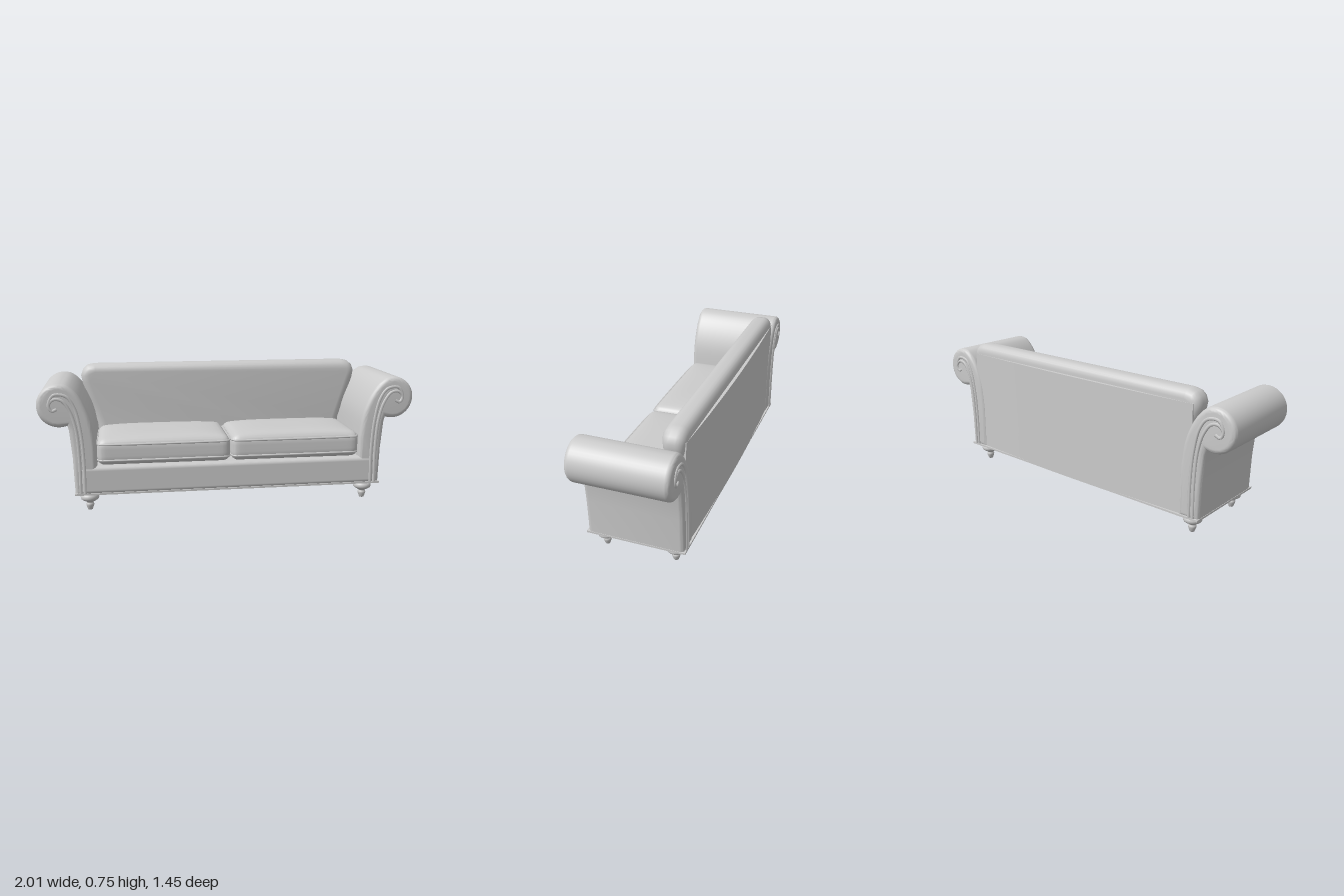
import * as THREE from 'three';
import { toCreasedNormals } from 'three/addons/utils/BufferGeometryUtils.js';
import { RoundedBoxGeometry } from 'three/addons/geometries/RoundedBoxGeometry.js';

const material = new THREE.MeshStandardMaterial({ color: 0xcccccc });
const v2 = (x, y) => new THREE.Vector2(x, y);
const v3 = (x, y, z) => new THREE.Vector3(x, y, z);

function add(parent, name, geometry, x = 0, y = 0, z = 0) {
  const mesh = new THREE.Mesh(geometry, material);
  mesh.name = name;
  mesh.position.set(x, y, z);
  parent.add(mesh);
  return mesh;
}

// Extrude along z, centred, with rounded edges kept inside the outline
function bevelled(points, thickness, bevel) {
  const geometry = new THREE.ExtrudeGeometry(new THREE.Shape(points), {
    depth: thickness - 2 * bevel, bevelEnabled: true, bevelThickness: bevel,
    bevelSize: bevel, bevelOffset: -bevel, bevelSegments: 5,
  });
  geometry.translate(0, 0, -thickness / 2 + bevel);
  return toCreasedNormals(geometry, 0.6);
}

// Rounded box with a crowned top
function pillow(w, h, d, r, crown) {
  const geometry = new THREE.BoxGeometry(2, 2, 2, 24, 12, 24);
  const p = geometry.attributes.position;
  const half = v3(w / 2, h / 2, d / 2);
  const inner = half.clone().subScalar(r);
  for (let i = 0; i < p.count; i++) {
    const q = v3(p.getX(i), p.getY(i), p.getZ(i));
    for (const a of ['x', 'y', 'z']) q[a] = Math.sin(q[a] * Math.PI / 2) * half[a];
    const core = q.clone().clamp(inner.clone().negate(), inner);
    q.sub(core).setLength(r).add(core);
    if (q.y > 0) {
      const fall = (1 - (2 * q.x / w) ** 4) * (1 - (2 * q.z / d) ** 4);
      q.y += crown * fall * q.y / half.y;
    }
    p.setXYZ(i, q.x, q.y, q.z);
  }
  return toCreasedNormals(geometry.toNonIndexed(), 0.8);
}

// Closed piping around a cushion
function piping(w, d, r, thickness) {
  const pts = [];
  for (const [sx, sz, start] of [[1, 1, 0], [-1, 1, 1], [-1, -1, 2], [1, -1, 3]]) {
    for (let i = 0; i <= 4; i++) {
      const a = (start + i / 4) * Math.PI / 2;
      pts.push(v3(sx * (w / 2 - r) + r * Math.cos(a), 0, sz * (d / 2 - r) + r * Math.sin(a)));
    }
  }
  const curve = new THREE.CatmullRomCurve3(pts, true, 'centripetal');
  return new THREE.TubeGeometry(curve, 100, thickness, 6, true);
}

// Scroll arm outline; s is the side (+1 left, -1 right)
function armOutline(s) {
  const inner = new THREE.SplineCurve([
    v2(0.72, 0.36), v2(0.735, 0.48), v2(0.765, 0.57), v2(0.81, 0.645), v2(0.86, 0.69), v2(0.905, 0.7),
  ]).getPoints(20);
  const pts = [v2(0.72, 0.1), ...inner];
  for (let i = 1; i <= 24; i++) {
    const a = THREE.MathUtils.degToRad(90 - i * 200 / 24);
    pts.push(v2(0.905 + 0.115 * Math.cos(a), 0.585 + 0.115 * Math.sin(a)));
  }
  pts.push(v2(0.859, 0.45), v2(0.846, 0.3), v2(0.84, 0.1));
  return pts.map((p) => v2(p.x * s, p.y));
}

// Raised band that climbs the arm end and curls into the scroll
function scrollBand(s, offset) {
  const path = [
    [0.81, 0.11], [0.81, 0.3], [0.822, 0.46], [0.85, 0.56], [0.89, 0.615],
    [0.93, 0.62], [0.955, 0.59], [0.94, 0.56], [0.915, 0.57],
  ].map(([x, y], i) => v3(s * (x - (i < 5 ? offset : 0)), y + (i > 2 && i < 6 ? offset : 0), 0));
  const geometry = new THREE.TubeGeometry(new THREE.CatmullRomCurve3(path), 60, 0.009, 6);
  return geometry;
}

export function createModel() {
  const model = new THREE.Group();
  model.name = 'sofa';
  const sofa = new THREE.Group();
  sofa.name = 'turnedSofa';
  sofa.rotation.y = -Math.PI / 6;
  model.add(sofa);

  // Base, front rail and bottom trim
  add(sofa, 'base', new THREE.BoxGeometry(1.67, 0.14, 0.5), 0, 0.17, 0);
  add(sofa, 'frontRail', new RoundedBoxGeometry(1.63, 0.156, 0.12, 5, 0.025), 0, 0.178, 0.203);
  add(sofa, 'bottomTrim', new THREE.BoxGeometry(1.685, 0.01, 0.53), 0, 0.105, 0);

  // Seat cushions with piping
  for (const s of [-1, 1]) {
    const cushion = new THREE.Group();
    cushion.name = s > 0 ? 'leftCushion' : 'rightCushion';
    cushion.position.set(s * 0.361, 0.325, 0.05);
    add(cushion, 'pad', pillow(0.718, 0.14, 0.41, 0.04, 0.022));
    for (const y of [-0.042, 0.045]) add(cushion, 'piping', piping(0.712, 0.404, 0.035, 0.006), 0, y, 0);
    sofa.add(cushion);
  }

  // Backrest: flared silhouette with a soft crest
  const side = [[0.72, 0.2], [0.72, 0.4], [0.76, 0.52], [0.8, 0.64], [0.808, 0.685], [0.795, 0.72], [0.77, 0.742], [0.73, 0.75]];
  const outline = [...side.map(([x, y]) => v2(x, y)), ...side.map(([x, y]) => v2(-x, y)).reverse()];
  add(sofa, 'backrest', bevelled(outline, 0.12, 0.045), 0, 0, -0.19);

  // Gently bowed rear panel
  const plan = new THREE.Shape();
  plan.moveTo(-0.79, 0.2);
  plan.lineTo(0.79, 0.2);
  plan.lineTo(0.79, 0.25);
  plan.quadraticCurveTo(0, 0.285, -0.79, 0.25);
  const panel = new THREE.ExtrudeGeometry(plan, { depth: 0.59, bevelEnabled: false, curveSegments: 16 });
  panel.rotateX(-Math.PI / 2);
  const pos = panel.attributes.position;
  for (let i = 0; i < pos.count; i++) if (pos.getY(i) > 0.3) pos.setX(i, pos.getX(i) * 0.985);
  add(sofa, 'rearPanel', toCreasedNormals(panel, 0.5), 0, 0.1, 0);

  // Scroll arms with bands on both ends
  for (const s of [-1, 1]) {
    const arm = new THREE.Group();
    arm.name = s > 0 ? 'leftArm' : 'rightArm';
    add(arm, 'scrollArm', bevelled(armOutline(s), 0.52, 0.025));
    for (const z of [-0.259, 0.259]) {
      for (const offset of [0, 0.022]) add(arm, 'scrollBand', scrollBand(s, offset), 0, 0, z);
    }
    sofa.add(arm);
  }

  // Turned bun feet
  const foot = new THREE.SplineCurve([
    v2(0.012, 0), v2(0.017, 0.012), v2(0.022, 0.03), v2(0.018, 0.042), v2(0.03, 0.05),
    v2(0.047, 0.062), v2(0.049, 0.078), v2(0.04, 0.092), v2(0.03, 0.102),
  ]).getPoints(28);
  const footGeometry = new THREE.LatheGeometry([v2(0, 0), ...foot], 24);
  for (const x of [-0.768, 0.768]) for (const z of [-0.19, 0.19]) add(sofa, 'foot', footGeometry, x, 0, z);

  return model;
}
